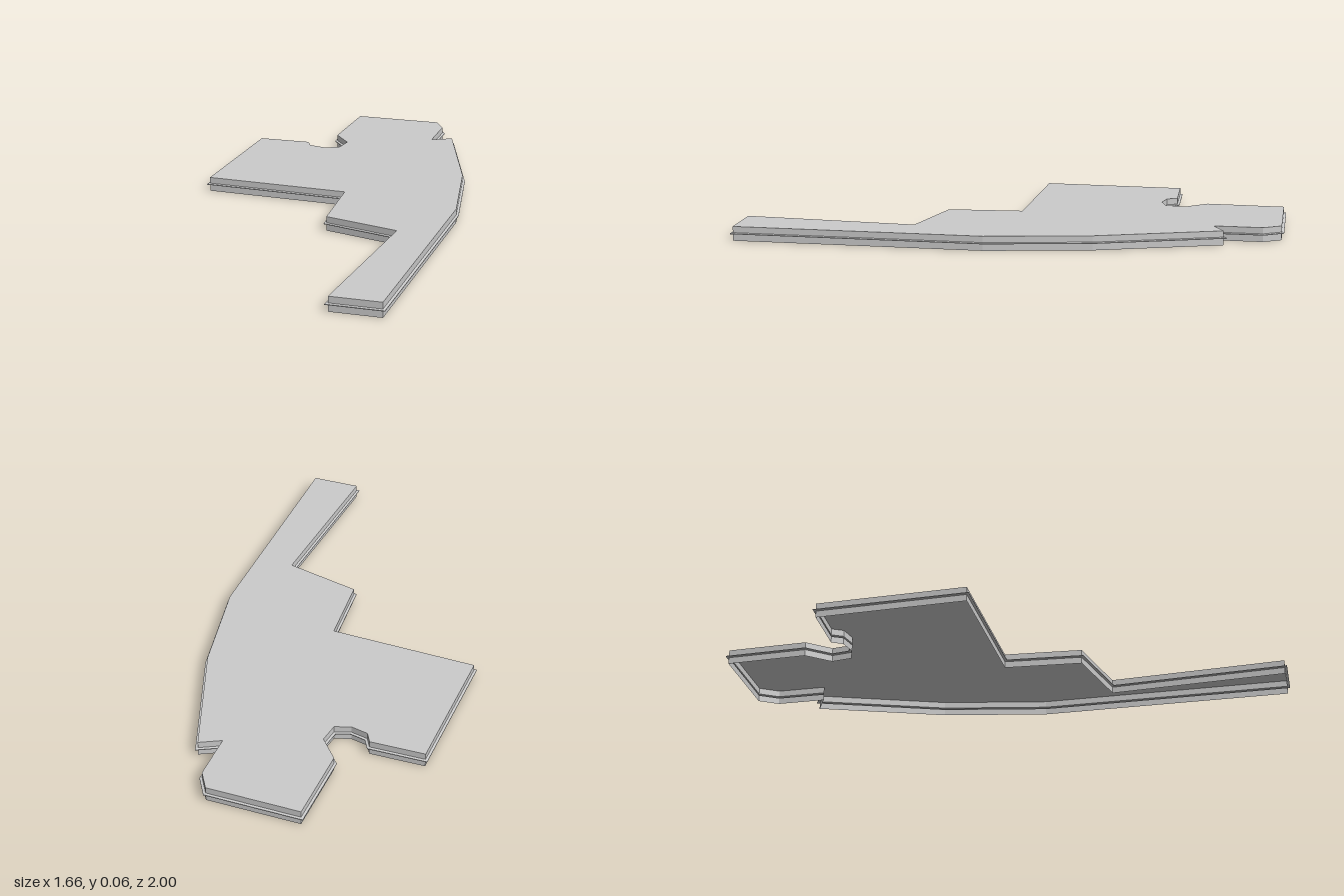
import * as THREE from 'three';

// Platform outline as [x, z], clockwise seen from above
const OUTLINE = [
  [0.01, -0.965], [0.163, -0.78], [0.142, -0.733], [0.17, -0.675], [0.22, -0.643],
  [0.285, -0.68], [0.31, -0.796], [0.585, -1], [0.83, -0.69], [0.797, -0.6],
  [0.65, -0.484], [0.733, -0.447], [0.433, 0.02], [0.142, 0.352], [-0.69, 1],
  [-0.83, 0.823], [-0.227, 0.41], [-0.36, 0.113], [-0.127, -0.098], [-0.49, -0.593],
].map(([x, z]) => new THREE.Vector2(x, z));

const HEIGHT = 0.06, RIM = 0.01;

// Outline moved inwards by d with mitred corners
function inset(points, d) {
  const n = points.length;
  const normal = (a, b) => new THREE.Vector2(a.y - b.y, b.x - a.x).normalize();
  return points.map((p, i) => {
    const n1 = normal(points[(i + n - 1) % n], p);
    const n2 = normal(p, points[(i + 1) % n]);
    const m = n1.clone().add(n2);
    return p.clone().addScaledVector(m, d / (1 + n1.dot(n2)));
  });
}

// Flat-shaded band joining two copies of the outline
function band(low, yLow, high, yHigh) {
  const pos = [];
  const n = low.length;
  for (let i = 0; i < n; i++) {
    const j = (i + 1) % n;
    const a = [low[i].x, yLow, low[i].y], b = [low[j].x, yLow, low[j].y];
    const c = [high[j].x, yHigh, high[j].y], d = [high[i].x, yHigh, high[i].y];
    pos.push(...a, ...c, ...b, ...a, ...d, ...c);
  }
  const geo = new THREE.BufferGeometry();
  geo.setAttribute('position', new THREE.Float32BufferAttribute(pos, 3));
  geo.computeVertexNormals();
  return geo;
}

export function createModel() {
  const group = new THREE.Group();
  group.name = 'platform';
  const material = new THREE.MeshStandardMaterial({
    color: 0xcccccc, flatShading: true, side: THREE.DoubleSide,
  });
  const add = (name, geo) => {
    const mesh = new THREE.Mesh(geo, material);
    mesh.name = name;
    group.add(mesh);
    return mesh;
  };
  const wall = inset(OUTLINE, RIM);

  // Deck
  const shape = new THREE.Shape(wall.map((p) => new THREE.Vector2(p.x, -p.y)));
  const deck = add('deck', new THREE.ShapeGeometry(shape).rotateX(-Math.PI / 2));
  deck.position.y = HEIGHT;

  // Side walls, open underneath, with a thin rim halfway up
  add('lowerSkirt', band(wall, 0, wall, 0.027));
  add('rimUnderside', band(wall, 0.027, OUTLINE, 0.029));
  add('rimEdge', band(OUTLINE, 0.029, OUTLINE, 0.032));
  add('rimTop', band(OUTLINE, 0.032, wall, 0.034));
  add('upperWall', band(wall, 0.034, wall, HEIGHT));

  return group;
}
